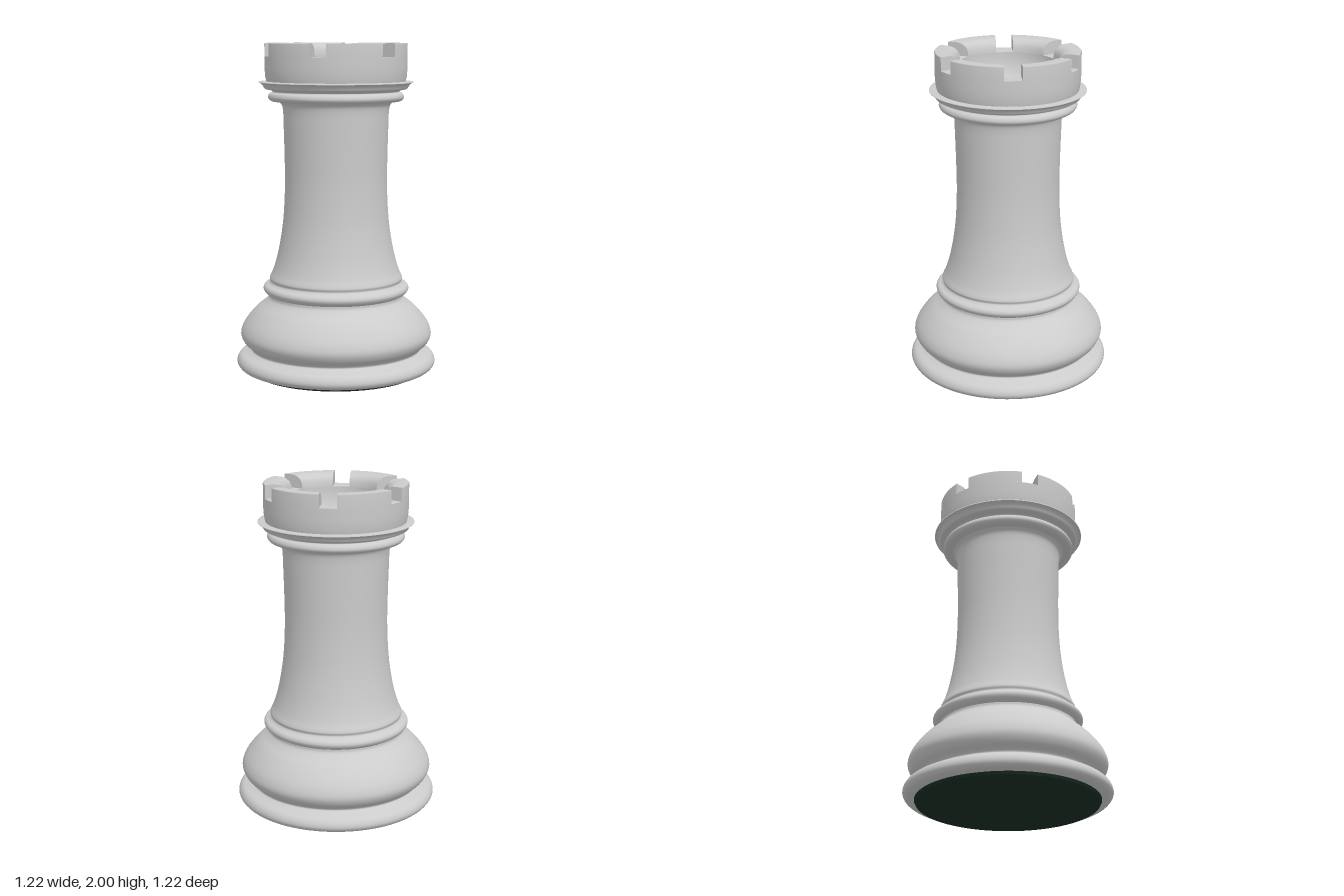
import * as THREE from 'three';

const SEGMENTS = 72;
const grey = new THREE.MeshStandardMaterial({ color: 0xcccccc });
const felt = new THREE.MeshStandardMaterial({ color: 0x1a2e24 });

// Turned part from [radius, height] points; a smooth one runs a curve through them
function turned(name, profile, material = grey, samples = 0) {
  let points = profile.map(([r, y]) => new THREE.Vector2(r, y));
  if (samples) {
    const curve = new THREE.CatmullRomCurve3(profile.map(([r, y]) => new THREE.Vector3(r, y, 0)), false, 'centripetal');
    points = curve.getPoints(samples).map((p) => new THREE.Vector2(p.x, p.y));
  }
  const mesh = new THREE.Mesh(new THREE.LatheGeometry(points, SEGMENTS), material);
  mesh.name = name;
  return mesh;
}

// One battlement block: a section swept round the rim, with ends parallel to the slots
function merlonGeometry(section, halfSlot, steps) {
  const positions = [], index = [];
  const n = section.length;
  const addSection = (t) => {
    for (const [r, y] of section) {
      const inset = Math.asin(halfSlot / r);
      const a = THREE.MathUtils.lerp(inset, Math.PI / 3 - inset, t);
      positions.push(r * Math.sin(a), y, r * Math.cos(a));
    }
  };
  for (let i = 0; i <= steps; i++) addSection(i / steps);
  for (let i = 0; i < steps; i++) {
    for (let j = 0; j < n - 1; j++) {
      const a = i * n + j, b = a + n;
      index.push(a, b, a + 1, b + 1, a + 1, b);
    }
  }
  // Flat end faces with their own vertices
  for (const t of [0, 1]) {
    const base = positions.length / 3;
    addSection(t);
    for (let j = 1; j < n - 1; j++) {
      if (t === 0) index.push(base, base + j, base + j + 1);
      else index.push(base, base + j + 1, base + j);
    }
  }
  const geometry = new THREE.BufferGeometry();
  geometry.setAttribute('position', new THREE.Float32BufferAttribute(positions, 3));
  geometry.setIndex(index);
  geometry.computeVertexNormals();
  return geometry;
}

export function createModel() {
  const model = new THREE.Group();
  model.name = 'rook';

  // Felt pad under the base
  model.add(turned('feltPadBottom', [[0, 0], [0.535, 0]], felt));
  model.add(turned('feltPadEdge', [[0.535, 0], [0.545, 0.02]], felt));

  // Foot ring and bulging base
  model.add(turned('base', [
    [0.54, 0.016], [0.59, 0.025], [0.61, 0.05], [0.608, 0.075], [0.59, 0.1], [0.545, 0.118],
    [0.522, 0.132], [0.53, 0.148], [0.565, 0.178], [0.586, 0.225], [0.575, 0.275],
    [0.54, 0.33], [0.485, 0.39], [0.435, 0.43], [0.412, 0.455], [0.41, 0.472],
  ], grey, 70));

  // Ring between base and shaft
  model.add(turned('lowerRing', [
    [0.41, 0.472], [0.435, 0.488], [0.446, 0.51], [0.438, 0.53], [0.412, 0.543], [0.402, 0.555],
    [0.407, 0.572], [0.402, 0.588],
  ], grey, 30));

  // Tapering shaft
  model.add(turned('shaft', [
    [0.402, 0.588], [0.387, 0.62], [0.362, 0.7], [0.341, 0.8], [0.326, 0.9], [0.317, 1.0],
    [0.311, 1.15], [0.312, 1.3], [0.317, 1.5], [0.321, 1.6], [0.328, 1.63], [0.346, 1.652],
  ], grey, 50));

  // Two stacked mouldings under the crown, ending in a thin lip
  model.add(turned('upperRing', [
    [0.346, 1.652], [0.393, 1.655], [0.41, 1.675], [0.403, 1.697], [0.383, 1.71],
    [0.395, 1.72], [0.428, 1.727], [0.44, 1.745], [0.45, 1.757], [0.465, 1.765],
  ], grey, 40));
  model.add(turned('lip', [[0.465, 1.765], [0.465, 1.77], [0.42, 1.772]]));

  // Crown wall up to the slot floors, and the hollow inside it
  model.add(turned('crownWall', [[0.42, 1.772], [0.426, 1.8], [0.43, 1.85], [0.43, 1.92]]));
  model.add(turned('slotFloor', [[0.43, 1.92], [0.33, 1.92], [0.295, 1.912]]));
  model.add(turned('crownHollow', [[0.295, 1.92], [0.295, 1.735], [0, 1.725]]));

  // Six battlements with rounded inner edges
  const geometry = merlonGeometry([
    [0.43, 1.92], [0.43, 1.995], [0.425, 2], [0.365, 2], [0.335, 1.993],
    [0.312, 1.978], [0.298, 1.953], [0.295, 1.92],
  ], 0.052, 14);
  for (let i = 0; i < 6; i++) {
    const merlon = new THREE.Mesh(geometry, grey);
    merlon.name = `battlement${i + 1}`;
    merlon.rotation.y = (i * Math.PI) / 3;
    model.add(merlon);
  }
  return model;
}
